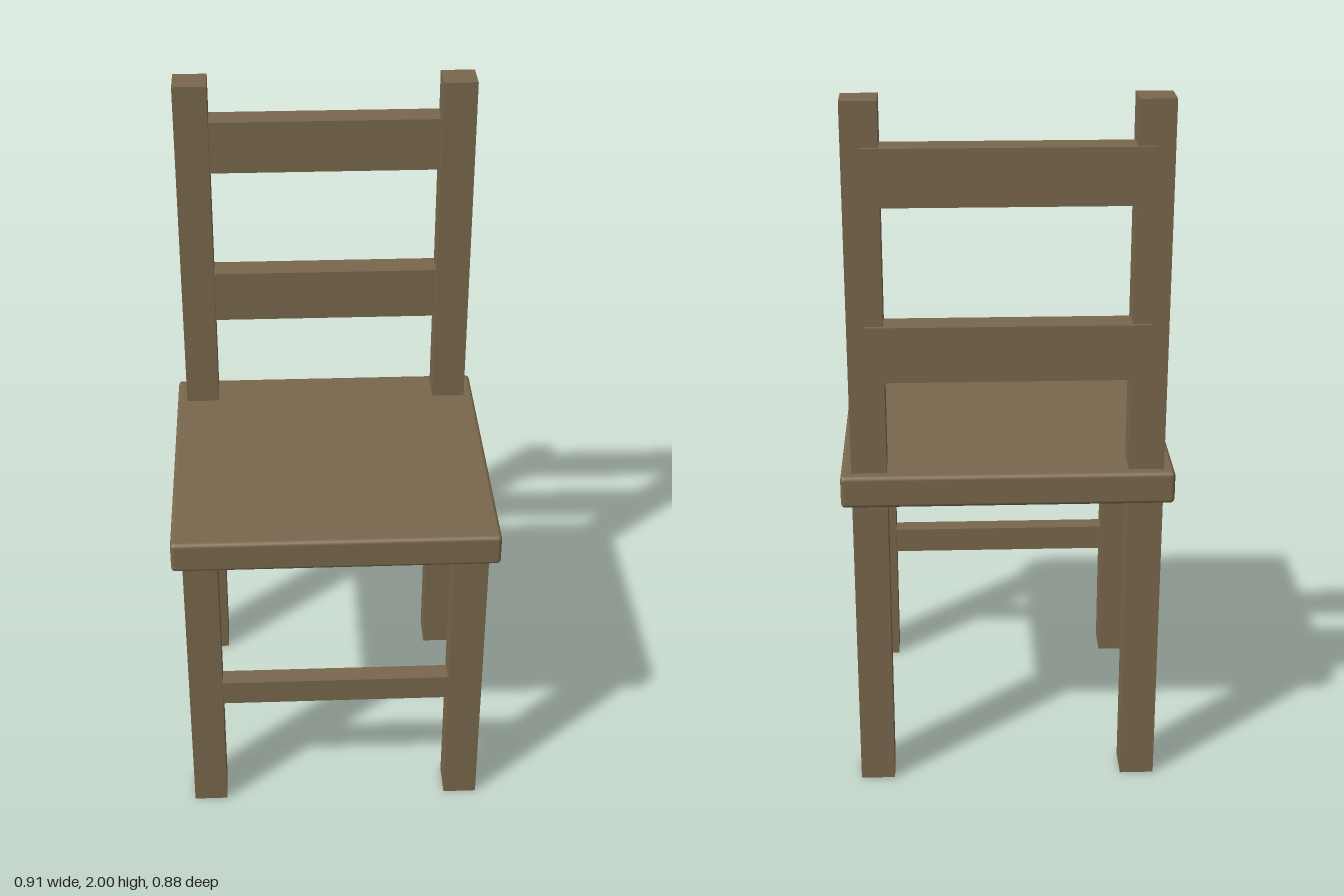
import * as THREE from 'three';
import { RoundedBoxGeometry } from 'three/addons/geometries/RoundedBoxGeometry.js';

export function createModel() {
  const chair = new THREE.Group();
  chair.name = 'chair';

  const wood = new THREE.MeshStandardMaterial({ color: 0x79674c });
  wood.name = 'brown wood';

  function add(name, geometry, x, y, z) {
    const mesh = new THREE.Mesh(geometry, wood);
    mesh.name = name;
    mesh.position.set(x, y, z);
    chair.add(mesh);
  }

  // Box given by its width, its centre x, and its y and z ranges
  function board(name, width, x, [y0, y1], [z0, z1]) {
    const geometry = new THREE.BoxGeometry(width, y1 - y0, z1 - z0);
    add(name, geometry, x, (y0 + y1) / 2, (z0 + z1) / 2);
  }

  // Seat with softened edges
  add('seat', new RoundedBoxGeometry(0.914, 0.093, 0.876, 2, 0.012), 0, 0.932, 0);

  // Tall back posts and short front legs, mirrored left and right
  for (const [side, sign] of [['left', 1], ['right', -1]]) {
    board(`${side}BackPost`, 0.097, sign * 0.379, [0, 2], [-0.409, -0.311]);
    board(`${side}FrontLeg`, 0.097, sign * 0.379, [0, 0.9], [0.312, 0.41]);
  }

  // Backrest slats, standing slightly proud of the posts at the back
  board('lowerBackSlat', 0.76, 0, [1.245, 1.4], [-0.42, -0.342]);
  board('upperBackSlat', 0.76, 0, [1.725, 1.88], [-0.42, -0.342]);

  // Rung between the front legs
  board('frontRung', 0.76, 0, [0.363, 0.44], [0.335, 0.39]);

  return chair;
}
